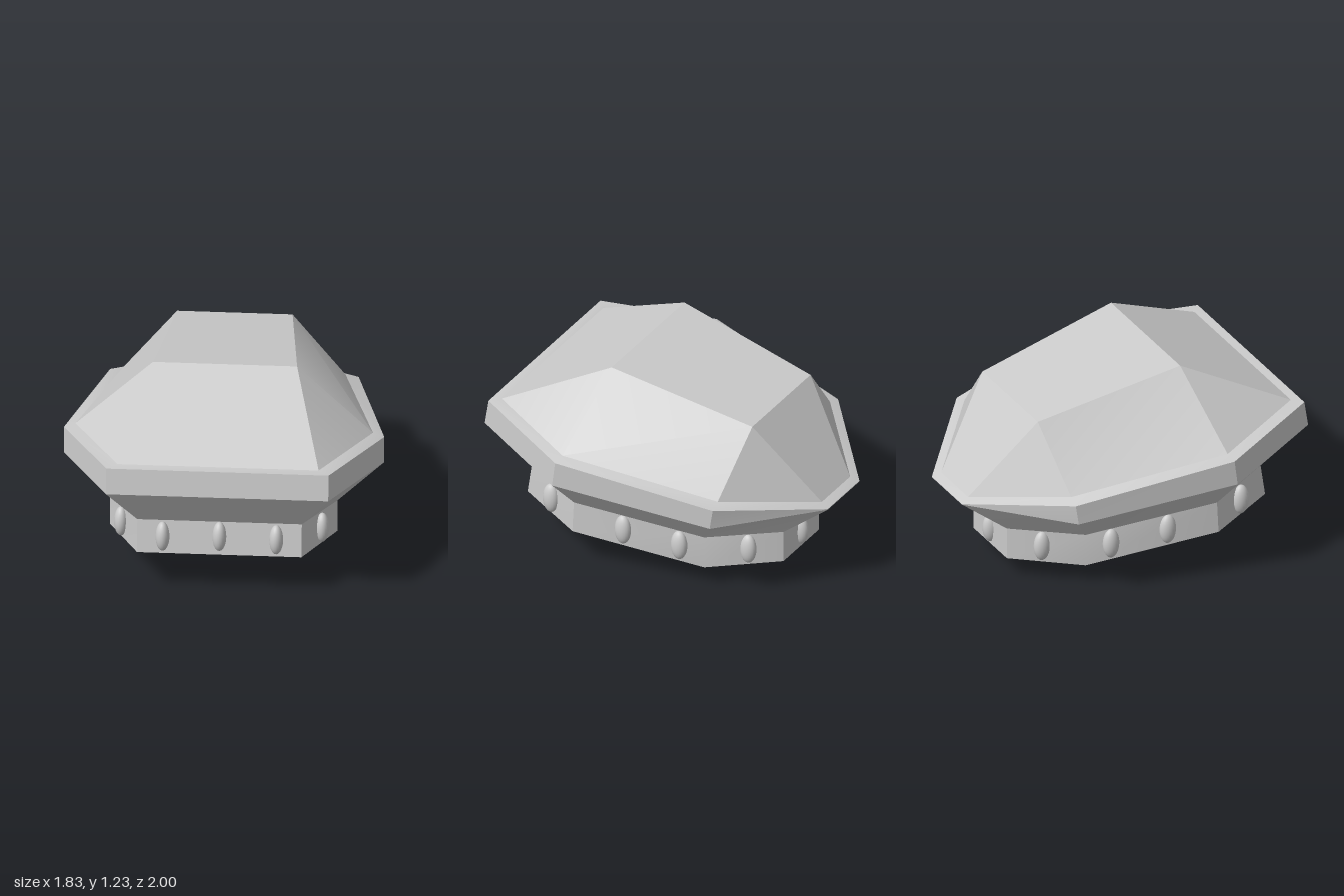
import * as THREE from 'three';
import { toCreasedNormals } from 'three/addons/utils/BufferGeometryUtils.js';

const material = new THREE.MeshStandardMaterial({ color: 0xcccccc });

function addMesh(parent, name, geometry) {
  const mesh = new THREE.Mesh(geometry, material);
  mesh.name = name;
  parent.add(mesh);
  return mesh;
}

// Mirrors four left-hand corners (front to back) into a closed eight-sided ring.
function ring(half) {
  const left = half.map(p => new THREE.Vector3(...p));
  const right = left.map(p => new THREE.Vector3(-p.x, p.y, p.z)).reverse();
  return [...left, ...right];
}

// Skins consecutive rings (inside to outside, bottom to top), with optional end caps.
function loft(rings, capStart = false, capEnd = false) {
  const pos = [];
  const tri = (a, b, c) => {
    const area = b.clone().sub(a).cross(c.clone().sub(a)).length();
    if (area > 1e-6) for (const p of [a, b, c]) pos.push(p.x, p.y, p.z);
  };
  for (let r = 0; r < rings.length - 1; r++) {
    const a = rings[r], b = rings[r + 1], n = a.length;
    for (let i = 0; i < n; i++) {
      const j = (i + 1) % n;
      tri(a[i], a[j], b[j]);
      tri(a[i], b[j], b[i]);
    }
  }
  // caps are strips joining each left corner to its mirror
  const cap = (q, up) => {
    for (let i = 0; i < 3; i++) {
      const [a, b, c, d] = [q[i], q[i + 1], q[6 - i], q[7 - i]];
      if (up) { tri(a, b, c); tri(a, c, d); } else { tri(a, c, b); tri(a, d, c); }
    }
  };
  if (capStart) cap(rings[0], false);
  if (capEnd) cap(rings[rings.length - 1], true);
  const geometry = new THREE.BufferGeometry();
  geometry.setAttribute('position', new THREE.Float32BufferAttribute(pos, 3));
  return toCreasedNormals(geometry, 0.45);
}

export function createModel() {
  const model = new THREE.Group();
  model.name = 'saucerPod';

  // corner rings, listed front, side, rear side, rear
  const baseLow = ring([[0.47, 0.27, 0.81], [0.65, 0.22, 0.41], [0.48, 0.125, -0.36], [0.2, 0.13, -0.72]]);
  const baseTop = ring([[0.47, 0.47, 0.78], [0.65, 0.415, 0.4], [0.48, 0.325, -0.36], [0.2, 0.325, -0.72]]);
  const rimLow = ring([[0.635, 0.755, 1], [0.915, 0.67, 0.39], [0.71, 0.555, -0.53], [0.18, 0.548, -1]]);
  const rimTop = ring([[0.635, 0.91, 0.975], [0.915, 0.825, 0.37], [0.71, 0.68, -0.55], [0.18, 0.552, -1]]);
  const domeLow = ring([[0.575, 0.91, 0.92], [0.85, 0.845, 0.36], [0.635, 0.7, -0.54], [0.16, 0.575, -0.95]]);
  const domeTop = ring([[0.412, 1.225, 0.29], [0.412, 1.225, 0.29], [0.33, 1.055, -0.59], [0.33, 1.055, -0.59]]);

  // recess under the base
  const inset = (q, lift) => q.map(p => new THREE.Vector3(p.x * 0.89, p.y + lift, (p.z - 0.04) * 0.91 + 0.04));
  const recessLow = inset(baseLow, 0);
  const recessTop = inset(baseTop, -0.03);

  addMesh(model, 'baseRing', loft([recessTop, recessLow, baseLow, baseTop], true));
  addMesh(model, 'hullSkirt', loft([baseTop, rimLow]));
  addMesh(model, 'rim', loft([rimLow, rimTop, domeLow]));
  addMesh(model, 'dome', loft([domeLow, domeTop], false, true));

  // lights set round the base ring
  const lightGeometry = new THREE.SphereGeometry(1, 20, 14);
  const lights = new THREE.Group();
  lights.name = 'lights';
  model.add(lights);
  const spots = [[0, 0.385, 0.8], [0.325, 0.375, 0.8], [0.575, 0.348, 0.595], [0.585, 0.29, 0.115],
    [0.515, 0.25, -0.215], [0.325, 0.232, -0.56], [0, 0.235, -0.715]];
  for (const [x, y, z] of spots) {
    for (const side of x ? [1, -1] : [1]) {
      const light = addMesh(lights, 'light', lightGeometry);
      light.position.set(side * x, y, z);
      light.scale.set(0.04, 0.092, 0.05);
    }
  }

  // tilted turbine in the recess, stretched lengthwise
  const turbine = new THREE.Group();
  turbine.name = 'turbine';
  turbine.position.set(0, 0.14, 0.105);
  turbine.rotation.x = -0.124;
  turbine.scale.z = 1.26;
  model.add(turbine);

  const hub = addMesh(turbine, 'turbineHub', new THREE.CylinderGeometry(0.2, 0.2, 0.03, 40));
  hub.position.y = 0.015;
  const shaft = addMesh(turbine, 'turbineShaft', new THREE.CylinderGeometry(0.17, 0.17, 0.22, 32));
  shaft.position.y = 0.13;

  // pitched blades
  const bladeGeometry = new THREE.BoxGeometry(0.27, 0.008, 0.09);
  bladeGeometry.rotateX(0.75);
  bladeGeometry.translate(0.3, 0.06, 0);
  const bladeCount = 24;
  for (let i = 0; i < bladeCount; i++) {
    const blade = addMesh(turbine, 'turbineBlade', bladeGeometry);
    blade.rotation.y = (i / bladeCount) * Math.PI * 2;
  }

  // rounded nose below the hub
  const nose = addMesh(model, 'turbineNose', new THREE.SphereGeometry(1, 28, 20));
  nose.position.set(0, 0.11, 0.105);
  nose.scale.set(0.086, 0.11, 0.109);

  return model;
}
